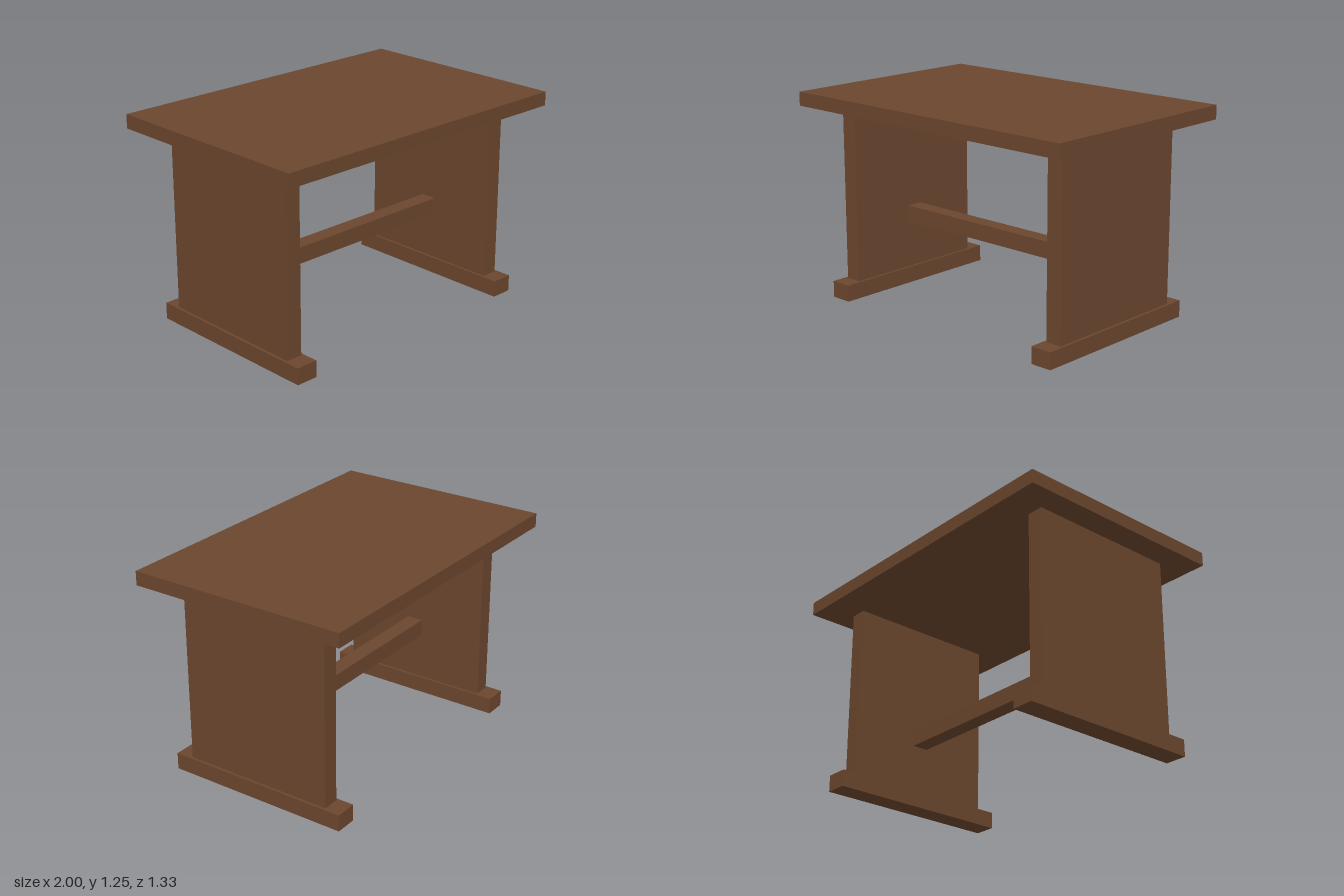
import * as THREE from 'three';

export function createModel() {
  const table = new THREE.Group();
  table.name = 'table';
  const wood = new THREE.MeshStandardMaterial({ color: 0x6b462d });
  wood.name = 'brown wood';

  // Box resting with its underside at the given height
  const board = (name, width, height, depth, x, bottom) => {
    const mesh = new THREE.Mesh(new THREE.BoxGeometry(width, height, depth), wood);
    mesh.name = name;
    mesh.position.set(x, bottom + height / 2, 0);
    table.add(mesh);
  };

  board('tableTop', 2, 0.083, 1.333, 0, 1.17);

  // Panel leg on a wider foot at each end
  for (const [side, s] of [['left', 1], ['right', -1]]) {
    board(`${side}Foot`, 0.133, 0.1, 1.133, s * 0.8, 0);
    board(`${side}PanelLeg`, 0.1, 1.07, 0.933, s * 0.8, 0.1);
  }

  // Stretcher between the panels
  board('stretcher', 1.5, 0.1, 0.1, 0, 0.39);

  return table;
}
